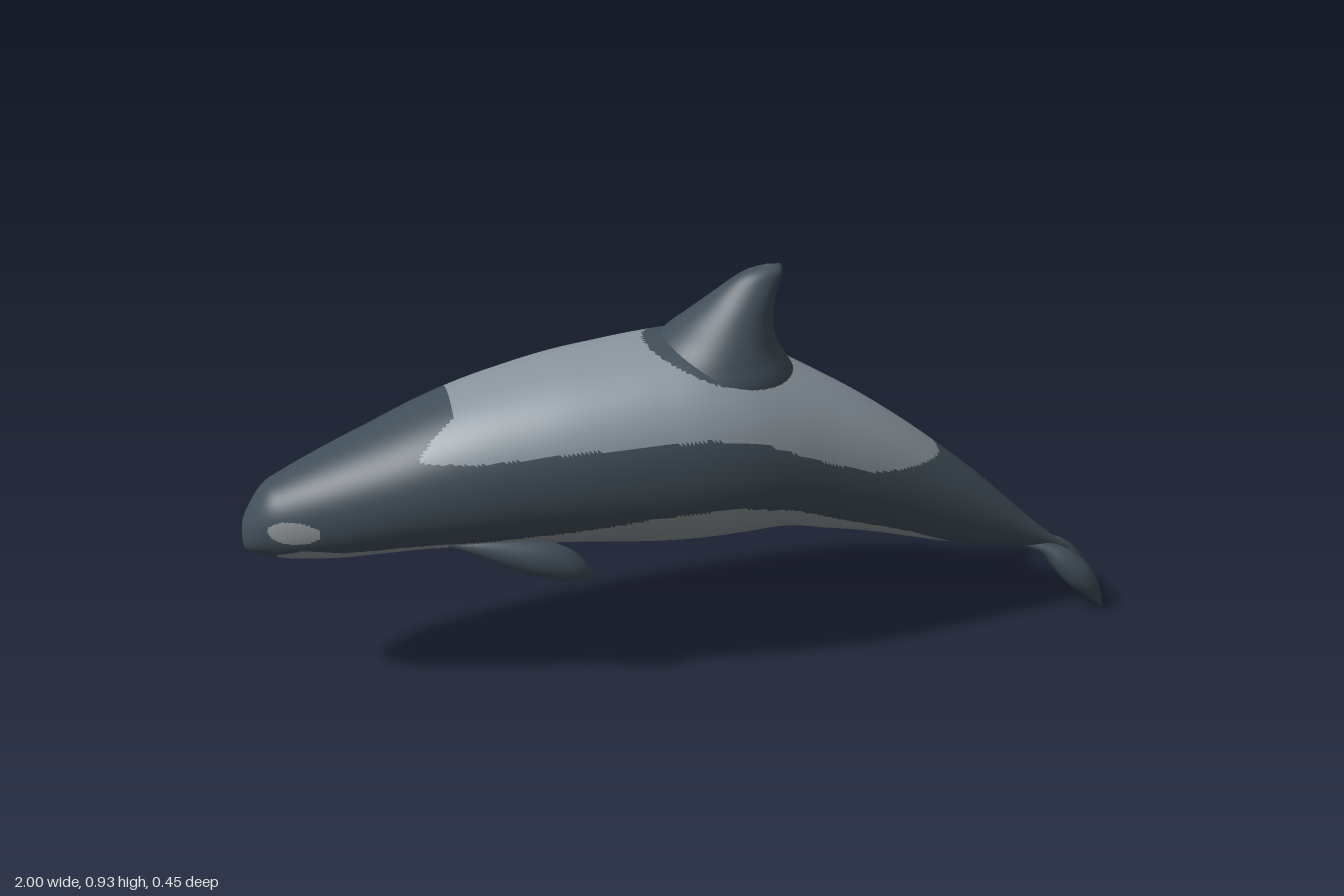
import * as THREE from 'three';

const mat = (name, color) => {
  const m = new THREE.MeshStandardMaterial({ color });
  m.name = name;
  return m;
};

// Linear lookup in a list of [x, value] pairs
function lookup(table, x) {
  if (x <= table[0][0]) return table[0][1];
  for (let i = 1; i < table.length; i++) {
    const [x0, a] = table[i - 1], [x1, b] = table[i];
    if (x <= x1) return a + (b - a) * (x - x0) / (x1 - x0);
  }
  return table[table.length - 1][1];
}

// Smooth skin through stations [x, y, z, radius across, radius in z].
// paint(x, y, z) gives the material index of each face.
function loft(stations, { nu = 32, nv = 24, power = 2, tangent = null, paint = () => 0 } = {}) {
  const centres = new THREE.CatmullRomCurve3(
    stations.map(s => new THREE.Vector3(s[0], s[1], s[2])), false, 'catmullrom', 0.5);
  const radii = new THREE.CatmullRomCurve3(
    stations.map(s => new THREE.Vector3(s[3], s[4], 0)), false, 'catmullrom', 0.5);
  const pos = [], faces = [[], [], []];
  const shape = v => Math.sign(v) * Math.pow(Math.abs(v), 2 / power);
  for (let i = 0; i <= nu; i++) {
    const c = centres.getPoint(i / nu), r = radii.getPoint(i / nu);
    const t = tangent || centres.getTangent(i / nu).setZ(0).normalize();
    for (let j = 0; j < nv; j++) {
      const a = j / nv * Math.PI * 2;
      const p = shape(Math.cos(a)) * Math.max(r.x, 0.0005);
      const q = shape(Math.sin(a)) * Math.max(r.y, 0.0005);
      pos.push(c.x - t.y * p, c.y + t.x * p, c.z + q);
    }
  }
  const mid = (k, ...ids) => ids.reduce((s, id) => s + pos[id * 3 + k], 0) / ids.length;
  for (let i = 0; i < nu; i++) for (let j = 0; j < nv; j++) {
    const k = (j + 1) % nv;
    const a = i * nv + j, b = i * nv + k, c = a + nv, d = b + nv;
    for (const tri of [[a, b, d], [a, d, c]]) {
      faces[paint(mid(0, ...tri), mid(1, ...tri), mid(2, ...tri))].push(...tri);
    }
  }
  const geo = new THREE.BufferGeometry();
  geo.setAttribute('position', new THREE.Float32BufferAttribute(pos, 3));
  geo.setIndex(faces.flat());
  let start = 0;
  faces.forEach((f, i) => {
    if (f.length) geo.addGroup(start, f.length, i);
    start += f.length;
  });
  geo.computeVertexNormals();
  return geo;
}

// Body outline: x, top, bottom, half width
const BODY = [
  [-1, 0.405, 0.385, 0.005], [-0.992, 0.445, 0.366, 0.033], [-0.95, 0.508, 0.355, 0.073],
  [-0.9, 0.537, 0.345, 0.098], [-0.8, 0.583, 0.34, 0.128], [-0.7, 0.625, 0.344, 0.152],
  [-0.6, 0.668, 0.347, 0.173], [-0.5, 0.703, 0.342, 0.19], [-0.4, 0.73, 0.34, 0.203],
  [-0.3, 0.752, 0.335, 0.214], [-0.2, 0.767, 0.325, 0.221], [-0.1, 0.78, 0.315, 0.224],
  [0, 0.785, 0.311, 0.224], [0.1, 0.762, 0.314, 0.216], [0.2, 0.712, 0.317, 0.197],
  [0.3, 0.655, 0.296, 0.172], [0.4, 0.592, 0.273, 0.147], [0.5, 0.52, 0.244, 0.121],
  [0.6, 0.44, 0.215, 0.095], [0.7, 0.352, 0.19, 0.068], [0.8, 0.255, 0.174, 0.039],
  [0.86, 0.2, 0.162, 0.02], [0.915, 0.155, 0.146, 0.003],
];

// Fin outline: y, front x, rear x, half width
const FIN = [
  [0.66, -0.12, 0.25, 0.155], [0.71, -0.11, 0.222, 0.155], [0.75, -0.09, 0.198, 0.138],
  [0.785, -0.06, 0.187, 0.117], [0.82, -0.015, 0.185, 0.092], [0.86, 0.038, 0.189, 0.066],
  [0.895, 0.082, 0.2, 0.043], [0.92, 0.122, 0.207, 0.026], [0.935, 0.172, 0.2, 0.003],
];

// Colour borders along the body
const STRIPE_TOP = [[-0.62, 0.6], [-0.5, 0.6], [-0.28, 0.62], [0, 0.625], [0.13, 0.595],
  [0.28, 0.52], [0.39, 0.475], [0.49, 0.46], [0.6, 0.455]];
const STRIPE_BOTTOM = [[-0.95, 0.37], [-0.87, 0.395], [-0.79, 0.385], [-0.63, 0.395], [-0.47, 0.4],
  [-0.31, 0.415], [-0.12, 0.445], [0.06, 0.45], [0.2, 0.415], [0.33, 0.355], [0.49, 0.29], [0.62, 0.22]];
const THROAT = [[-1, 0], [-0.85, 0.03], [-0.7, 0.065], [-0.6, 0.09], [-0.45, 0.115], [-0.36, 0.1]];

function paintBody(x, y, z) {
  z = Math.abs(z);
  // dark saddle under the fin
  if (y > 0.6 && Math.hypot((x - 0.06) / 0.165, z / 0.155) < 1) return 0;
  // pale back
  const front = -0.535 - 0.085 * THREE.MathUtils.smoothstep(z, 0.08, 0.14);
  if (x > front && x < 0.57 && y > lookup(STRIPE_TOP, x)) return 1;
  // cheek spot
  if (Math.hypot((x + 0.892) / 0.056, (y - 0.44) / 0.027) < 1) return 2;
  // pale belly with a dark throat
  if (x > -0.93 && x < 0.62 && y < lookup(STRIPE_BOTTOM, x)) {
    return x < -0.36 && z < lookup(THROAT, x) ? 0 : 2;
  }
  return 0;
}

export function createModel() {
  const group = new THREE.Group();
  const dark = mat('darkSlate', 0x414e58);
  const back = mat('paleBack', 0x89959d);
  const belly = mat('paleBelly', 0x8e9497);
  const add = (name, geo, materials) => {
    const mesh = new THREE.Mesh(geo, materials);
    mesh.name = name;
    group.add(mesh);
  };

  // Body
  add('body', loft(
    BODY.map(([x, top, bottom, w]) => [x, (top + bottom) / 2, 0, (top - bottom) / 2, w]),
    { nu: 242, nv: 160, power: 2.15, tangent: new THREE.Vector3(1, 0, 0), paint: paintBody },
  ), [dark, back, belly]);

  // Dorsal fin
  add('dorsalFin', loft(
    FIN.map(([y, x0, x1, w]) => [(x0 + x1) / 2, y, 0, (x1 - x0) / 2, w]),
    { nu: 48, nv: 48, tangent: new THREE.Vector3(0, 1, 0) },
  ), dark);

  // Paired flippers and tail flukes
  for (const [side, s] of [['left', 1], ['right', -1]]) {
    add(side + 'Flipper', loft([
      [-0.58, 0.39, s * 0.11, 0.004, 0.006], [-0.5, 0.378, s * 0.122, 0.022, 0.024],
      [-0.41, 0.354, s * 0.134, 0.038, 0.034], [-0.34, 0.332, s * 0.14, 0.042, 0.036],
      [-0.285, 0.305, s * 0.141, 0.03, 0.027], [-0.248, 0.283, s * 0.14, 0.002, 0.003],
    ]), dark);
    add(side + 'Fluke', loft([
      [0.78, 0.185, s * 0.006, 0.006, 0.006], [0.845, 0.168, s * 0.018, 0.014, 0.017],
      [0.89, 0.138, s * 0.03, 0.029, 0.03], [0.93, 0.098, s * 0.036, 0.034, 0.034],
      [0.965, 0.054, s * 0.036, 0.022, 0.027], [0.997, 0.003, s * 0.035, 0.002, 0.003],
    ]), dark);
  }
  return group;
}
